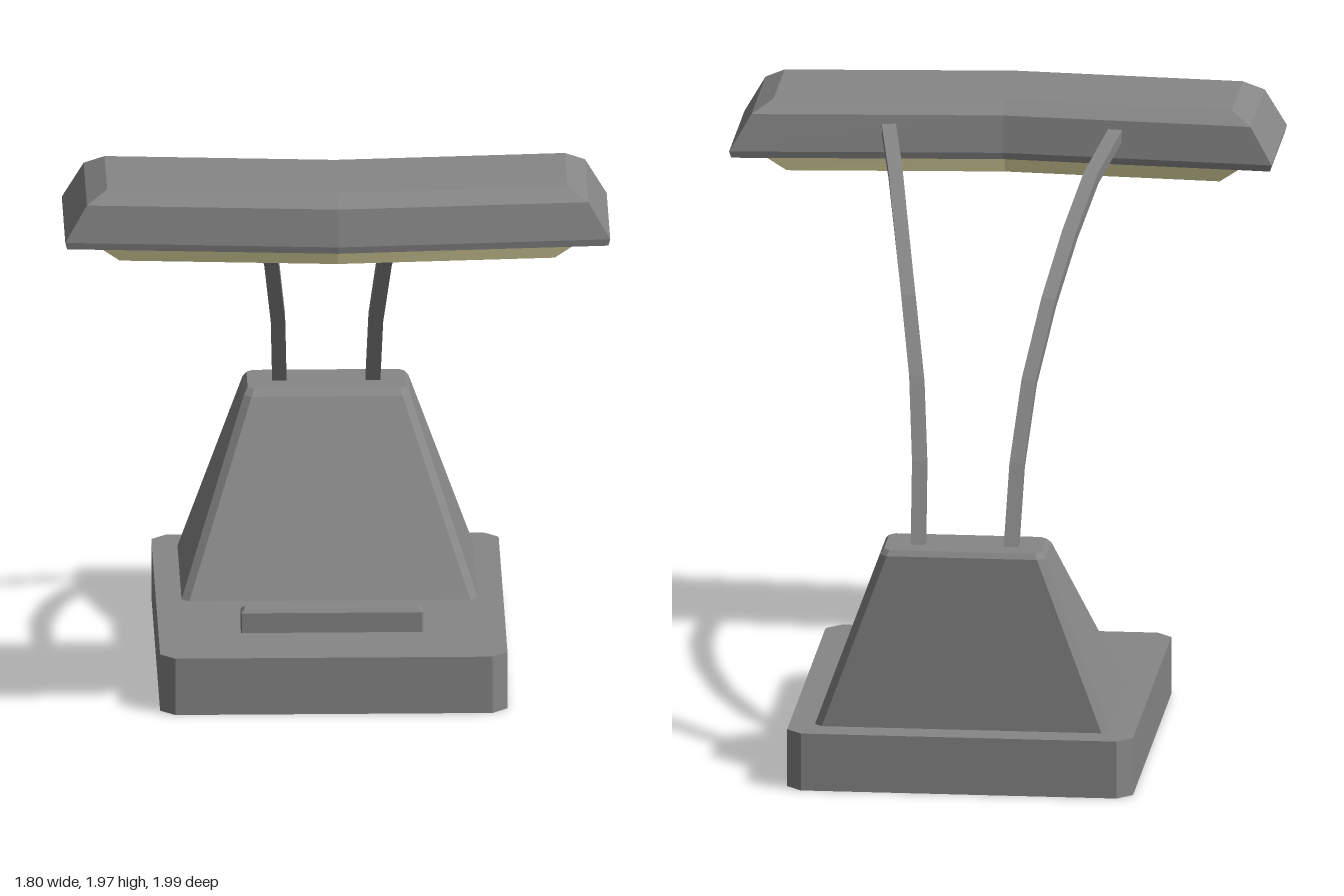
import * as THREE from 'three';

const grey = new THREE.MeshStandardMaterial({ color: 0x868686 });
const cream = new THREE.MeshStandardMaterial({ color: 0xe8e0a8 });

// Closed, flat-faceted solid through a stack of equal-length rings
// (each ring runs anticlockwise around the direction of the stack).
function loft(name, rings, material = grey) {
  const pos = [];
  const tri = (...pts) => pts.forEach((p) => pos.push(p.x, p.y, p.z));
  const n = rings[0].length;
  for (let i = 0; i < rings.length - 1; i++) {
    for (let j = 0; j < n; j++) {
      const k = (j + 1) % n;
      const [a, b, c, d] = [rings[i][j], rings[i][k], rings[i + 1][k], rings[i + 1][j]];
      tri(a, b, c);
      tri(a, c, d);
    }
  }
  const centre = (ring) => ring.reduce((s, p) => s.add(p), new THREE.Vector3()).divideScalar(n);
  const first = rings[0], last = rings[rings.length - 1];
  const c0 = centre(first), c1 = centre(last);
  for (let j = 0; j < n; j++) {
    const k = (j + 1) % n;
    tri(c0, first[k], first[j]);
    tri(c1, last[j], last[k]);
  }
  const geo = new THREE.BufferGeometry();
  geo.setAttribute('position', new THREE.Float32BufferAttribute(pos, 3));
  geo.computeVertexNormals();
  const mesh = new THREE.Mesh(geo, material);
  mesh.name = name;
  return mesh;
}

// Level rectangle with cut corners: half width w, from back to front in z
function cutRect(y, w, back, front, c) {
  return [
    [w, front - c], [w, back + c], [w - c, back], [c - w, back],
    [-w, back + c], [-w, front - c], [c - w, front], [w - c, front],
  ].map(([x, z]) => new THREE.Vector3(x, y, z));
}

// Level outline of the lamp head, bent forward at the middle
function bentRect(y, w, back, front, bend) {
  return [
    [w, front], [w, back], [0, back + bend],
    [-w, back], [-w, front], [0, front + bend],
  ].map(([x, z]) => new THREE.Vector3(x, y, z));
}

// Square bar swept along a curved path
function arm(name, side) {
  const path = [
    [0.154, 0.77, -0.797], [0.162, 1.045, -0.67], [0.187, 1.29, -0.515], [0.233, 1.512, -0.322],
    [0.28, 1.683, -0.09], [0.325, 1.808, 0.165], [0.377, 1.878, 0.465],
  ].map(([x, y, z]) => new THREE.Vector3(x * side, y, z));
  const rings = path.map((p, i) => {
    const t = path[Math.min(i + 1, path.length - 1)].clone().sub(path[Math.max(i - 1, 0)]);
    t.x = 0;
    const normal = t.normalize().cross(new THREE.Vector3(1, 0, 0));
    return [[1, 1], [-1, 1], [-1, -1], [1, -1]].map(([a, b]) => {
      const q = p.clone().addScaledVector(normal, b * 0.021);
      q.x += a * 0.024;
      return q;
    });
  });
  return loft(name, rings);
}

export function createModel() {
  const lamp = new THREE.Group();
  lamp.name = 'deskLamp';

  // Base slab with cut corners
  lamp.add(loft('base', [
    cutRect(0, 0.575, -1, 0.39, 0.05),
    cutRect(0.195, 0.575, -1, 0.39, 0.05),
  ]));

  // Tapered pedestal with an upright back
  lamp.add(loft('pedestal', [
    cutRect(0.195, 0.49, -0.9, -0.25, 0.025),
    cutRect(0.782, 0.275, -0.895, -0.638, 0.025),
    cutRect(0.8, 0.262, -0.882, -0.668, 0.02),
  ]));

  // Raised bar on the base
  lamp.add(loft('switchBar', [
    cutRect(0.195, 0.302, 0.044, 0.108, 0.004),
    cutRect(0.263, 0.302, 0.044, 0.108, 0.004),
    cutRect(0.275, 0.29, 0.054, 0.098, 0.004),
  ]));

  // Pair of curved arms
  lamp.add(arm('leftArm', 1), arm('rightArm', -1));

  // Bent lamp head and its light panel
  const head = new THREE.Group();
  head.name = 'head';
  head.add(loft('shade', [
    bentRect(1.78, 0.896, 0.41, 0.918, 0.071),
    bentRect(1.803, 0.902, 0.403, 0.921, 0.072),
    bentRect(1.927, 0.83, 0.425, 0.905, 0.065),
    bentRect(1.967, 0.762, 0.482, 0.853, 0.06),
  ]));
  head.add(loft('lightPanel', [
    bentRect(1.717, 0.72, 0.502, 0.845, 0.055),
    bentRect(1.785, 0.815, 0.475, 0.86, 0.063),
  ], cream));
  lamp.add(head);

  return lamp;
}
